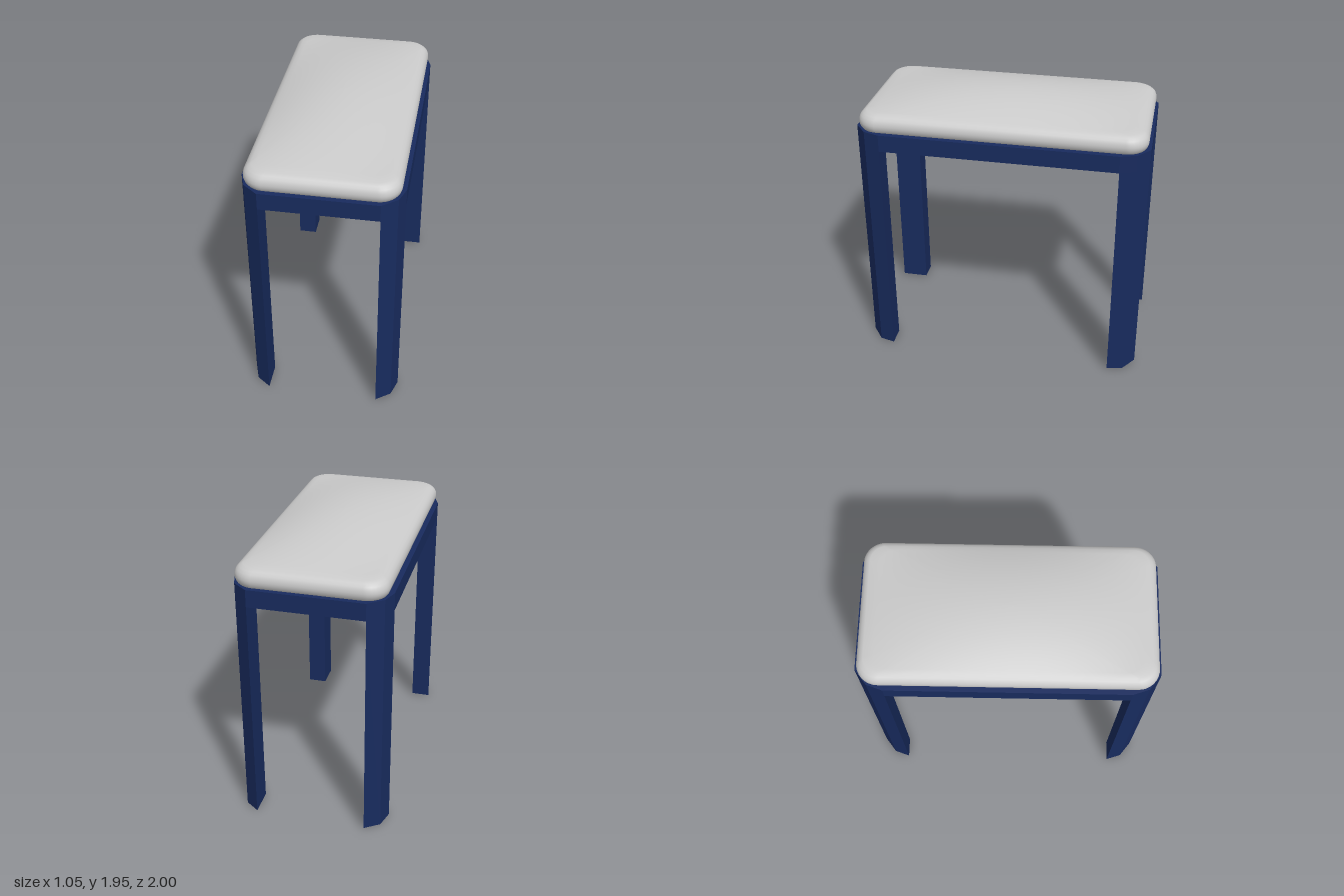
import * as THREE from 'three';

const HX = 0.525, HZ = 1, SLAB_TOP = 1.74, SLAB_BOTTOM = 1.62;
// faceted corner shared by the seat frame and the legs, as (x, z)
const CORNER = [[0.525, 0.81], [0.487, 0.92], [0.387, 1]];

// vertical prism from an (x, z) outline
function prism(points, bottom, top) {
  const shape = new THREE.Shape(points.map(([x, z]) => new THREE.Vector2(x, z)));
  const geo = new THREE.ExtrudeGeometry(shape, { depth: top - bottom, bevelEnabled: false });
  return geo.rotateX(Math.PI / 2).translate(0, top, 0);
}

// rounded rectangle in (x, z), with evenly divided straight edges
function roundedOutline(hx, hz, r) {
  const pts = [], arc = 8, edge = 12;
  [[1, 1], [-1, 1], [-1, -1], [1, -1]].forEach(([sx, sz], k) => {
    for (let i = 0; i <= arc; i++) {
      const a = (k + i / arc) * Math.PI / 2;
      pts.push([sx * (hx - r) + r * Math.cos(a), sz * (hz - r) + r * Math.sin(a)]);
    }
    const [x, z] = pts[pts.length - 1];
    for (let i = 1; i < edge; i++) {
      const t = 1 - 2 * i / edge;
      pts.push(k % 2 === 0 ? [x * t, z] : [x, z * t]);
    }
  });
  return pts;
}

// padded seat: rolled edge rings, then a gently domed top
function cushionGeometry() {
  const hx = 0.502, hz = 0.982, r = 0.14, y0 = 1.735;
  const rings = [];
  const edge = [[0.02, y0], [0.007, 1.755], [0.001, 1.775], [0, 1.792], [0.003, 1.812],
    [0.012, 1.832], [0.028, 1.848], [0.05, 1.86]];
  rings.push(roundedOutline(hx, hz, r).map(() => [0, y0, 0]));
  for (const [inset, y] of edge) {
    rings.push(roundedOutline(hx - inset, hz - inset, r - inset * 0.6).map(([x, z]) => [x, y, z]));
  }
  const rim = rings[rings.length - 1], steps = 14;
  for (let i = 1; i <= steps; i++) {
    const s = 1 - i / steps;
    rings.push(rim.map(([x, , z]) => {
      const u = x * s / (hx - 0.05), v = z * s / (hz - 0.05);
      return [x * s, 1.86 + 0.09 * (1 - u * u) * (1 - v * v), z * s];
    }));
  }
  const n = rim.length, index = [];
  for (let i = 0; i < rings.length - 1; i++) {
    for (let j = 0; j < n; j++) {
      const a = i * n + j, b = i * n + (j + 1) % n;
      index.push(a, a + n, b, b, a + n, b + n);
    }
  }
  const geo = new THREE.BufferGeometry();
  geo.setAttribute('position', new THREE.Float32BufferAttribute(rings.flat(2), 3));
  geo.setIndex(index);
  geo.computeVertexNormals();
  return geo;
}

// corner leg whose foot dips slightly at the outer corner
function legGeometry(sx, sz) {
  const points = [[0.387, 0.81], ...CORNER].map(([x, z]) => [x * sx, z * sz]);
  const geo = prism(points, 0, SLAB_BOTTOM);
  const p = geo.attributes.position;
  for (let i = 0; i < p.count; i++) {
    const outer = Math.abs(Math.abs(p.getZ(i)) - CORNER[1][1]) < 0.01;
    if (p.getY(i) < 0.001 && !outer) p.setY(i, 0.01);
  }
  geo.computeVertexNormals();
  return geo;
}

export function createModel() {
  const model = new THREE.Group();
  model.name = 'stool';
  const navy = new THREE.MeshStandardMaterial({ color: 0x182b5e });
  const grey = new THREE.MeshStandardMaterial({ color: 0xcccccc });
  const add = (name, geo, material) => {
    const mesh = new THREE.Mesh(geo, material);
    mesh.name = name;
    model.add(mesh);
  };

  // seat frame with the corner repeated around the rectangle
  const back = [...CORNER].reverse();
  const outline = [
    ...CORNER,
    ...back.map(([x, z]) => [-x, z]),
    ...CORNER.map(([x, z]) => [-x, -z]),
    ...back.map(([x, z]) => [x, -z]),
  ];
  add('seatFrame', prism(outline, SLAB_BOTTOM, SLAB_TOP), navy);
  add('cushion', cushionGeometry(), grey);

  for (const sx of [1, -1]) {
    for (const sz of [1, -1]) {
      add((sz > 0 ? 'front' : 'back') + (sx > 0 ? 'Left' : 'Right') + 'Leg', legGeometry(sx, sz), navy);
    }
  }
  return model;
}
